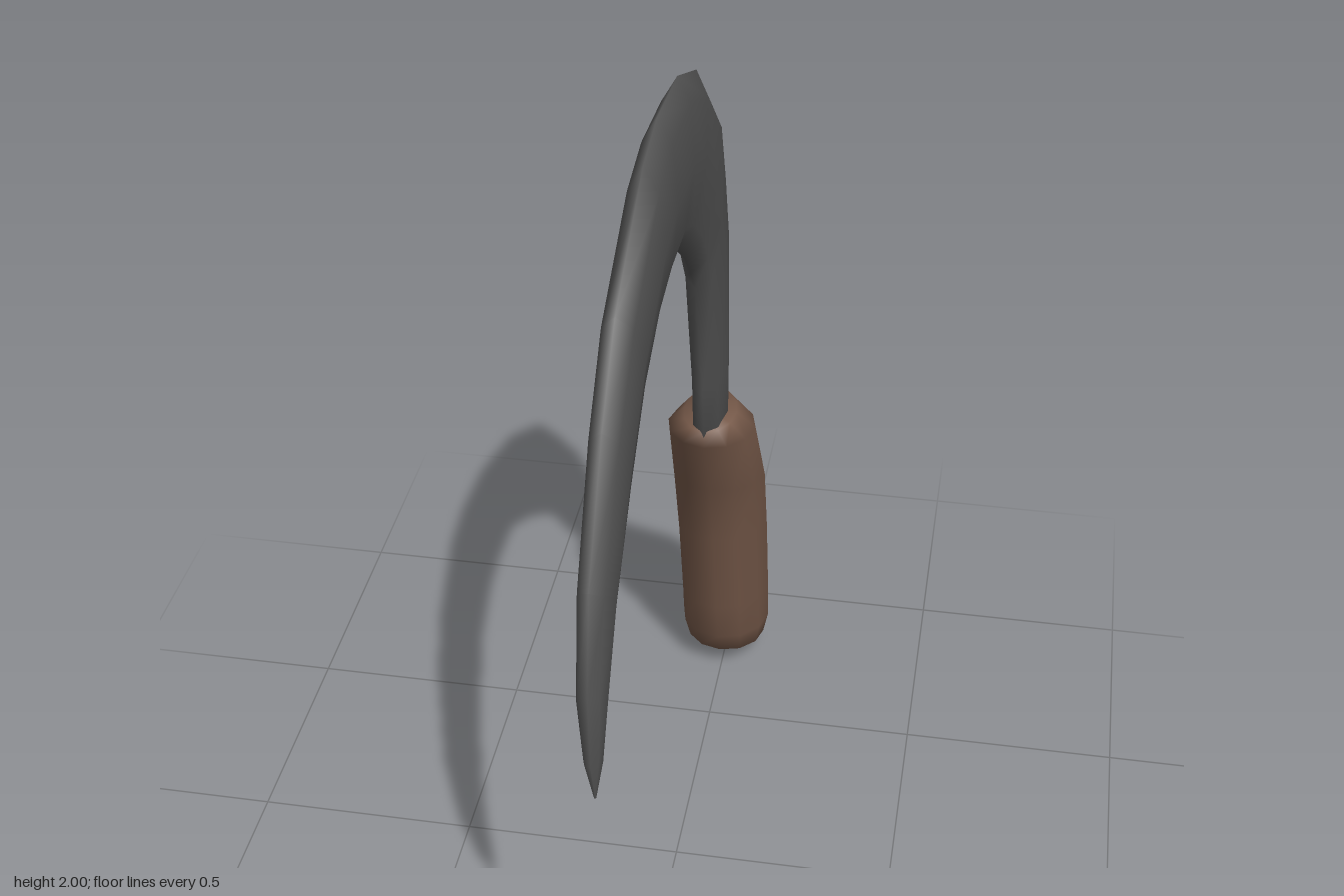
import * as THREE from 'three';

// Skin through elliptical rings. Each section is [zA, yA, zB, yB, halfWidth]:
// A and B are the two ends of the ring in the side plane, halfWidth is along x.
function loft(sections, sides) {
  const pos = [], index = [];
  for (const [za, ya, zb, yb, w] of sections) {
    for (let j = 0; j < sides; j++) {
      const a = (j / sides) * Math.PI * 2, t = (1 - Math.cos(a)) / 2;
      pos.push(w * Math.sin(a), ya + (yb - ya) * t, za + (zb - za) * t);
    }
  }
  const last = sections.length - 1;
  for (let i = 0; i < last; i++) {
    for (let j = 0; j < sides; j++) {
      const k = (j + 1) % sides;
      const a = i * sides + j, b = i * sides + k, c = a + sides, d = b + sides;
      index.push(a, c, b, b, c, d);
    }
  }
  // end caps
  for (const i of [0, last]) {
    const [za, ya, zb, yb] = sections[i];
    const centre = pos.length / 3;
    pos.push(0, (ya + yb) / 2, (za + zb) / 2);
    for (let j = 0; j < sides; j++) {
      const a = i * sides + j, b = i * sides + (j + 1) % sides;
      if (i === 0) index.push(centre, a, b);
      else index.push(centre, b, a);
    }
  }
  const geo = new THREE.BufferGeometry();
  geo.setAttribute('position', new THREE.Float32BufferAttribute(pos, 3));
  geo.setIndex(index);
  geo.computeVertexNormals();
  return geo;
}

function addPart(group, name, geometry, color) {
  const mesh = new THREE.Mesh(geometry, new THREE.MeshStandardMaterial({ color }));
  mesh.name = name;
  group.add(mesh);
}

export function createModel() {
  const group = new THREE.Group();
  group.name = 'sickle';

  // curved blade, from its base in the handle to the tip: outer edge, inner edge
  addPart(group, 'blade', loft([
    [-0.55, 0.90, -0.37, 0.90, 0.04],
    [-0.575, 1.08, -0.335, 1.08, 0.04],
    [-0.555, 1.38, -0.23, 1.40, 0.04],
    [-0.50, 1.55, -0.17, 1.47, 0.04],
    [-0.43, 1.72, -0.105, 1.54, 0.04],
    [-0.23, 1.89, 0.00, 1.62, 0.04],
    [-0.01, 1.98, 0.07, 1.655, 0.04],
    [0.20, 2.00, 0.215, 1.66, 0.04],
    [0.34, 1.975, 0.34, 1.645, 0.04],
    [0.60, 1.835, 0.47, 1.595, 0.04],
    [0.73, 1.69, 0.60, 1.48, 0.038],
    [0.865, 1.46, 0.735, 1.33, 0.034],
    [0.90, 1.26, 0.825, 1.18, 0.028],
    [0.89, 1.09, 0.843, 1.085, 0.018],
    [0.861, 0.99, 0.859, 0.99, 0.002],
  ], 8), 0x555555);

  // wooden grip, from the collar down to the butt: front edge, back edge
  addPart(group, 'handle', loft([
    [-0.365, 0.95, -0.55, 0.95, 0.06],
    [-0.36, 0.91, -0.60, 0.885, 0.10],
    [-0.46, 0.72, -0.75, 0.64, 0.11],
    [-0.52, 0.53, -0.84, 0.41, 0.11],
    [-0.585, 0.27, -0.895, 0.22, 0.11],
    [-0.63, 0.14, -0.895, 0.11, 0.11],
    [-0.665, 0.07, -0.875, 0.055, 0.098],
    [-0.74, 0.015, -0.835, 0.015, 0.055],
    [-0.77, 0.00, -0.80, 0.00, 0.015],
  ], 12), 0x775a4a);

  return group;
}
